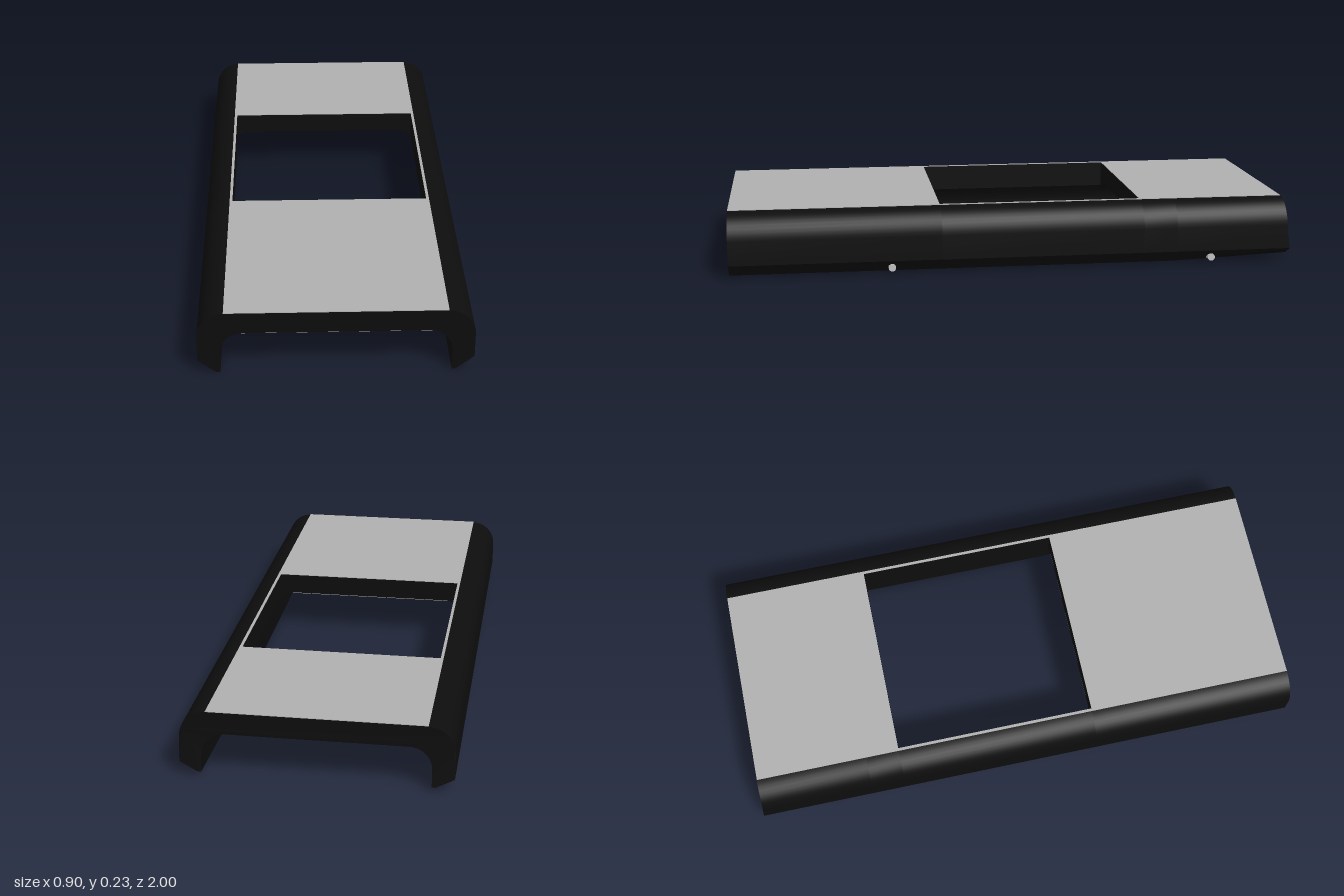
import * as THREE from 'three';
import { toCreasedNormals } from 'three/addons/utils/BufferGeometryUtils.js';

const TOP = 0.226, HALF = 0.448, INNER = 0.375, CEIL = 0.152;
const R_OUT = 0.09, R_IN = 0.075;
const HOLE_X = 0.35, HOLE_FRONT = 0.26, HOLE_BACK = -0.46;

// Outline of one leg with its rounded shoulder, from the top inner end round to the ceiling
function legPoints(startX) {
  const pts = [[startX, TOP]];
  const n = 10;
  for (let i = 0; i <= n; i++) {
    const a = (Math.PI / 2) * (1 - i / n);
    pts.push([HALF - R_OUT + R_OUT * Math.cos(a), TOP - R_OUT + R_OUT * Math.sin(a)]);
  }
  pts.push([HALF, 0.05], [0.388, 0.002], [INNER, 0.002]);
  const end = Math.acos(Math.max(0, (startX - INNER + R_IN) / R_IN));
  for (let i = 0; i <= n; i++) {
    const a = (end * i) / n;
    pts.push([INNER - R_IN + R_IN * Math.cos(a), CEIL - R_IN + R_IN * Math.sin(a)]);
  }
  return pts;
}

const toShape = (pts) => new THREE.Shape(pts.map(([x, y]) => new THREE.Vector2(x, y)));

// Extrude a profile between two z positions, optionally reshaping it by a vertex rule
function section(pts, z0, z1, rule) {
  const geo = new THREE.ExtrudeGeometry(toShape(pts), { depth: z1 - z0, bevelEnabled: false });
  geo.translate(0, 0, z0);
  if (rule) {
    const p = geo.attributes.position, v = new THREE.Vector3();
    for (let i = 0; i < p.count; i++) {
      v.fromBufferAttribute(p, i);
      rule(v);
      p.setXYZ(i, v.x, v.y, v.z);
    }
  }
  return toCreasedNormals(geo, 0.5);
}

export function createModel() {
  const group = new THREE.Group();
  const black = new THREE.MeshStandardMaterial({ color: 0x0d0d0d });
  black.name = 'black shell';
  const grey = new THREE.MeshStandardMaterial({ color: 0xb0b0b0 });
  grey.name = 'grey panel';
  const metal = new THREE.MeshStandardMaterial({ color: 0xc4c4c4 });
  metal.name = 'pin metal';

  const add = (name, geo, mat, x = 0, y = 0, z = 0) => {
    const mesh = new THREE.Mesh(geo, mat);
    mesh.name = name;
    mesh.position.set(x, y, z);
    group.add(mesh);
    return mesh;
  };
  const mirror = (pts) => pts.map(([x, y]) => [-x, y]).reverse();

  // Arched shell: full arches in front of and behind the opening
  const half = legPoints(0);
  const arch = [...half, ...mirror(half)];
  add('frontArch', section(arch, HOLE_FRONT, 1), black);
  add('rearArch', section(arch, -0.58, HOLE_BACK), black);

  // Tail: underside rises and the end face curves inward towards the top
  add('tailArch', section(arch, -1, -0.58, (v) => {
    if (v.z > -0.9) return;
    if (v.y < 0.04) v.y += 0.018;
    const t = Math.min(1, Math.max(0, (v.y - 0.02) / (TOP - 0.02)));
    v.z += 0.019 * (1 - (1 - t) ** 2);
  }), black);

  // Side rails beside the opening
  const rail = legPoints(HOLE_X);
  add('leftRail', section(rail, HOLE_BACK, HOLE_FRONT), black);
  add('rightRail', section(mirror(rail), HOLE_BACK, HOLE_FRONT), black);

  // Thin flat panels, given by x and z ranges
  const plate = (name, x0, x1, z0, z1, y) =>
    add(name, new THREE.BoxGeometry(x1 - x0, 0.002, z1 - z0), grey, (x0 + x1) / 2, y, (z0 + z1) / 2);
  plate('frontTopPanel', -0.36, 0.36, HOLE_FRONT, 1, TOP + 0.001);
  plate('rearTopPanel', -0.36, 0.36, -0.98, HOLE_BACK, TOP + 0.001);
  for (const s of [-1, 1]) {
    const xs = [s * HOLE_X, s * 0.36].sort((a, b) => a - b);
    plate(s > 0 ? 'leftTopStrip' : 'rightTopStrip', xs[0], xs[1], HOLE_BACK, HOLE_FRONT, TOP + 0.001);
  }
  plate('frontCeilingPanel', -0.315, 0.315, HOLE_FRONT, 0.998, CEIL - 0.001);
  plate('rearCeilingPanel', -0.315, 0.315, -0.97, -0.5, CEIL - 0.001);

  // Locating pins under the chamfered legs
  const pinGeo = new THREE.CylinderGeometry(0.013, 0.013, 0.045, 20).rotateZ(Math.PI / 2);
  for (const s of [-1, 1]) {
    for (const z of [0.435, -0.71]) {
      add(`${s > 0 ? 'left' : 'right'}${z > 0 ? 'Front' : 'Rear'}Pin`, pinGeo, metal, s * 0.412, 0.022, z);
    }
  }
  return group;
}
